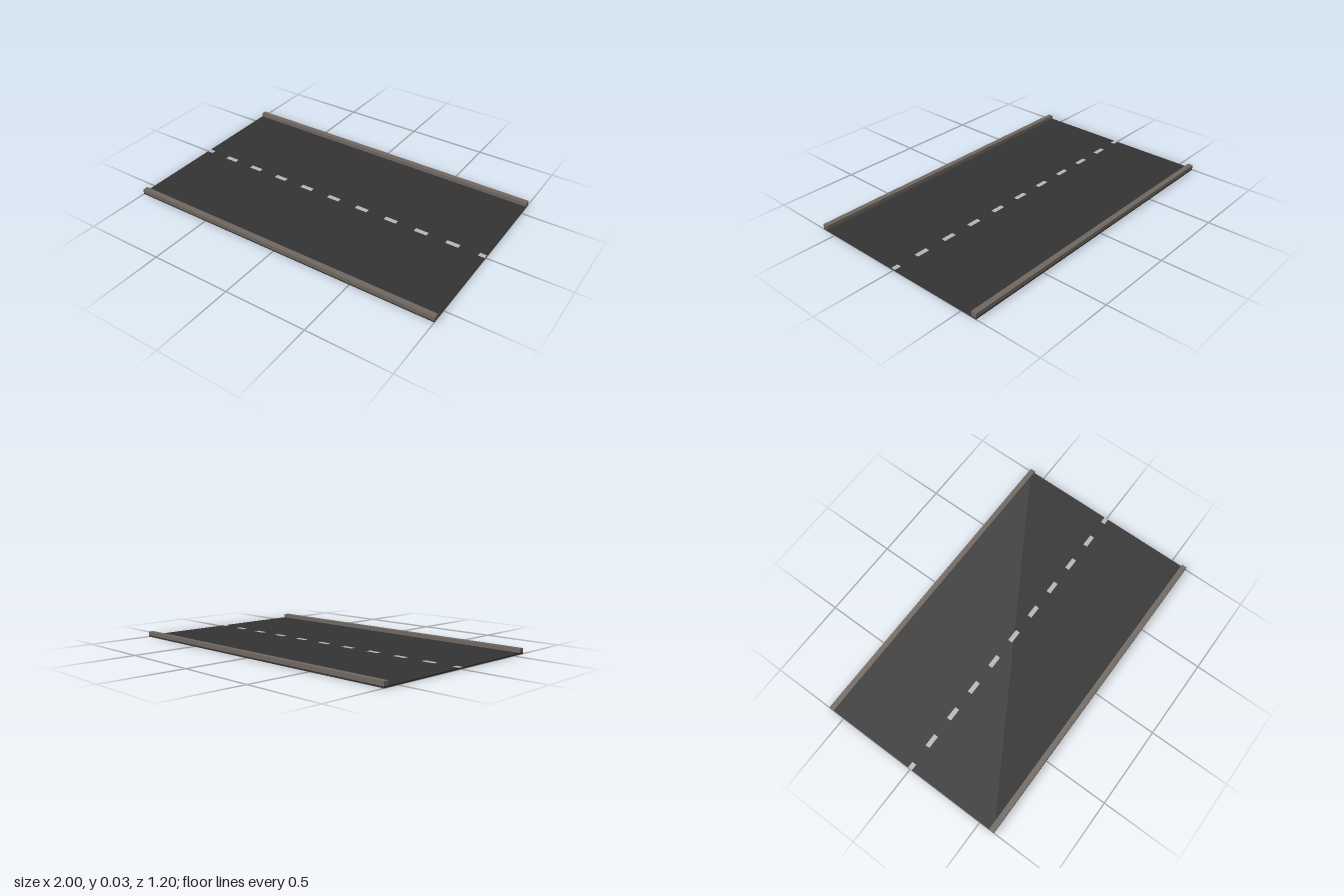
import * as THREE from 'three';

const asphalt = new THREE.MeshStandardMaterial({ color: 0x333333 });
const stone = new THREE.MeshStandardMaterial({ color: 0x6e6660 });
const paint = new THREE.MeshStandardMaterial({ color: 0xb4b4b4 });

// Box spanning the given x, y and z ranges
function block(name, material, [x0, x1], [y0, y1], [z0, z1]) {
  const mesh = new THREE.Mesh(new THREE.BoxGeometry(x1 - x0, y1 - y0, z1 - z0), material);
  mesh.position.set((x0 + x1) / 2, (y0 + y1) / 2, (z0 + z1) / 2);
  mesh.name = name;
  return mesh;
}

export function createModel() {
  const road = new THREE.Group();
  road.name = 'roadSegment';

  // Road slab
  road.add(block('roadSurface', asphalt, [-1, 1], [0, 0.009], [-0.6, 0.6]));

  // Kerbs along both edges
  road.add(block('frontKerb', stone, [-1, 1], [0.008, 0.033], [0.567, 0.6]));
  road.add(block('backKerb', stone, [-1, 1], [0.008, 0.033], [-0.6, -0.567]));

  // Dashed centre line, with half dashes at the two ends
  const dashes = new THREE.Group();
  dashes.name = 'centreLine';
  for (let i = -5; i <= 5; i++) {
    const x = i * 0.2;
    const span = [Math.max(x - 0.04, -1), Math.min(x + 0.04, 1)];
    dashes.add(block('laneDash', paint, span, [0.008, 0.0105], [-0.014, 0.014]));
  }
  road.add(dashes);

  return road;
}
